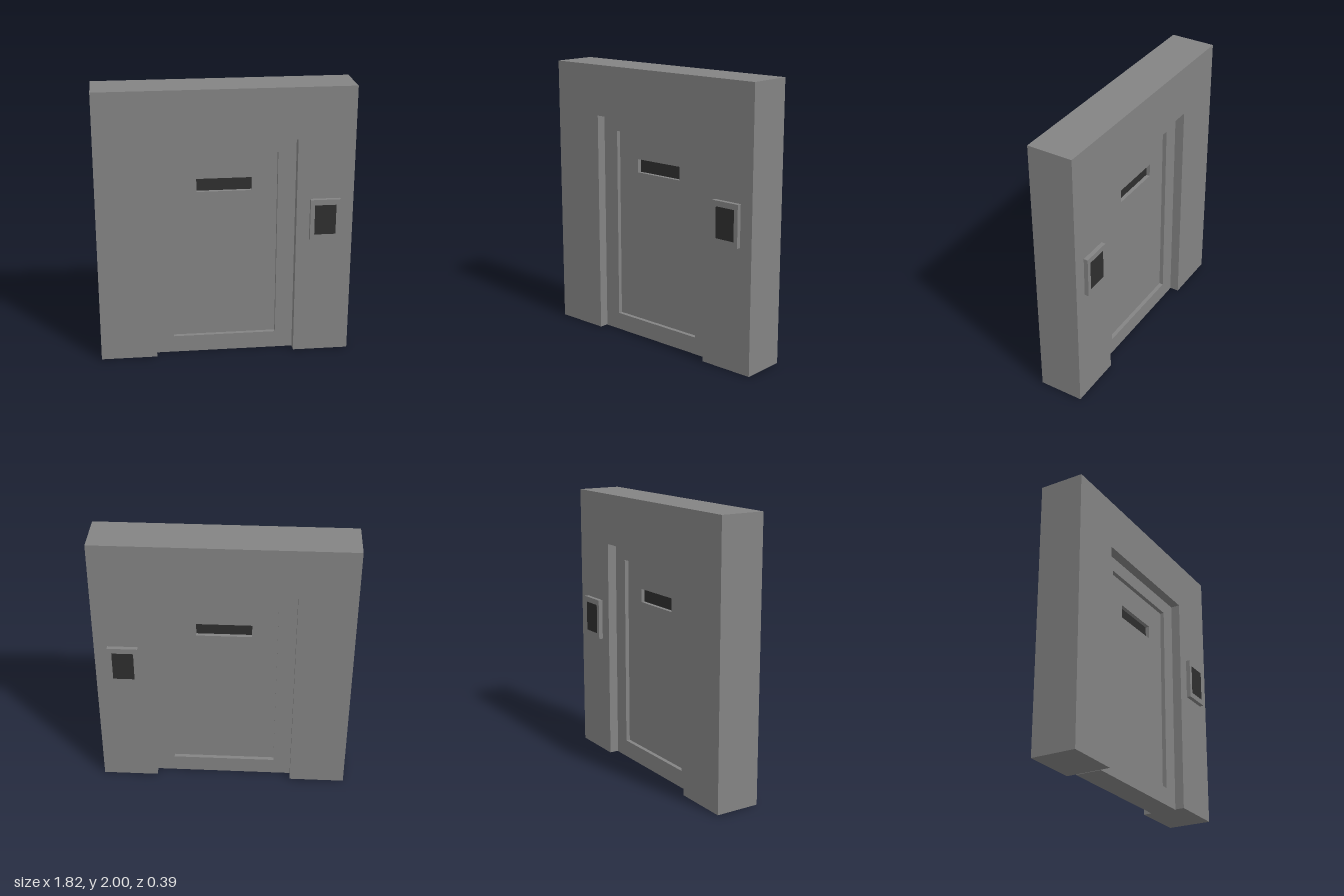
import * as THREE from 'three';

const grey = new THREE.MeshStandardMaterial({ color: 0x838383 });
const dark = new THREE.MeshStandardMaterial({ color: 0x2e2e2e });

const shape = (pts) => new THREE.Shape(pts.map(([x, y]) => new THREE.Vector2(x, y)));
const rect = (x0, x1, y0, y1) => [[x0, y0], [x1, y0], [x1, y1], [x0, y1]];

// Slab centred on z = 0, with an optional hole through it
function slab(name, outline, halfDepth, hole, material = grey) {
  const s = shape(outline);
  if (hole) s.holes.push(shape(hole));
  const g = new THREE.ExtrudeGeometry(s, { depth: 2 * halfDepth, bevelEnabled: false });
  g.translate(0, 0, -halfDepth);
  const mesh = new THREE.Mesh(g, material);
  mesh.name = name;
  return mesh;
}

export function createModel() {
  const model = new THREE.Group();
  model.name = 'doorway';

  // Wall with a door opening that reaches the floor
  const W = 0.91, D = 0.505, base = 0.003, top = 1.632;
  model.add(slab('wall', [
    [-W, base], [-D, base], [-D, top], [D, top], [D, base], [W, base], [W, 2], [-W, 2],
  ], 0.163));

  // Door: frame, recessed panel and a deeper viewing slot, alike on both sides
  const door = new THREE.Group();
  door.name = 'door';
  const inner = rect(-0.377, 0.377, 0.127, 1.526);
  const slot = rect(-0.197, 0.197, 1.24, 1.337);
  door.add(
    slab('doorFrame', rect(-D, D, 0, top), 0.095, inner),
    slab('doorPanel', inner, 0.065, slot),
    slab('viewingSlot', slot, 0.037, null, dark),
  );
  model.add(door);

  // Control box with a dark screen on each face of the wall
  for (const side of [1, -1]) {
    const control = new THREE.Group();
    control.name = side > 0 ? 'frontControl' : 'backControl';
    const box = new THREE.Mesh(new THREE.BoxGeometry(0.215, 0.3, 0.034), grey);
    box.name = 'controlBox';
    const screen = new THREE.Mesh(new THREE.BoxGeometry(0.153, 0.22, 0.004), dark);
    screen.name = 'controlScreen';
    screen.position.z = 0.0155;
    control.add(box, screen);
    control.position.set(0.707, 1.043, side * 0.177);
    if (side < 0) control.rotation.y = Math.PI;
    model.add(control);
  }
  return model;
}
